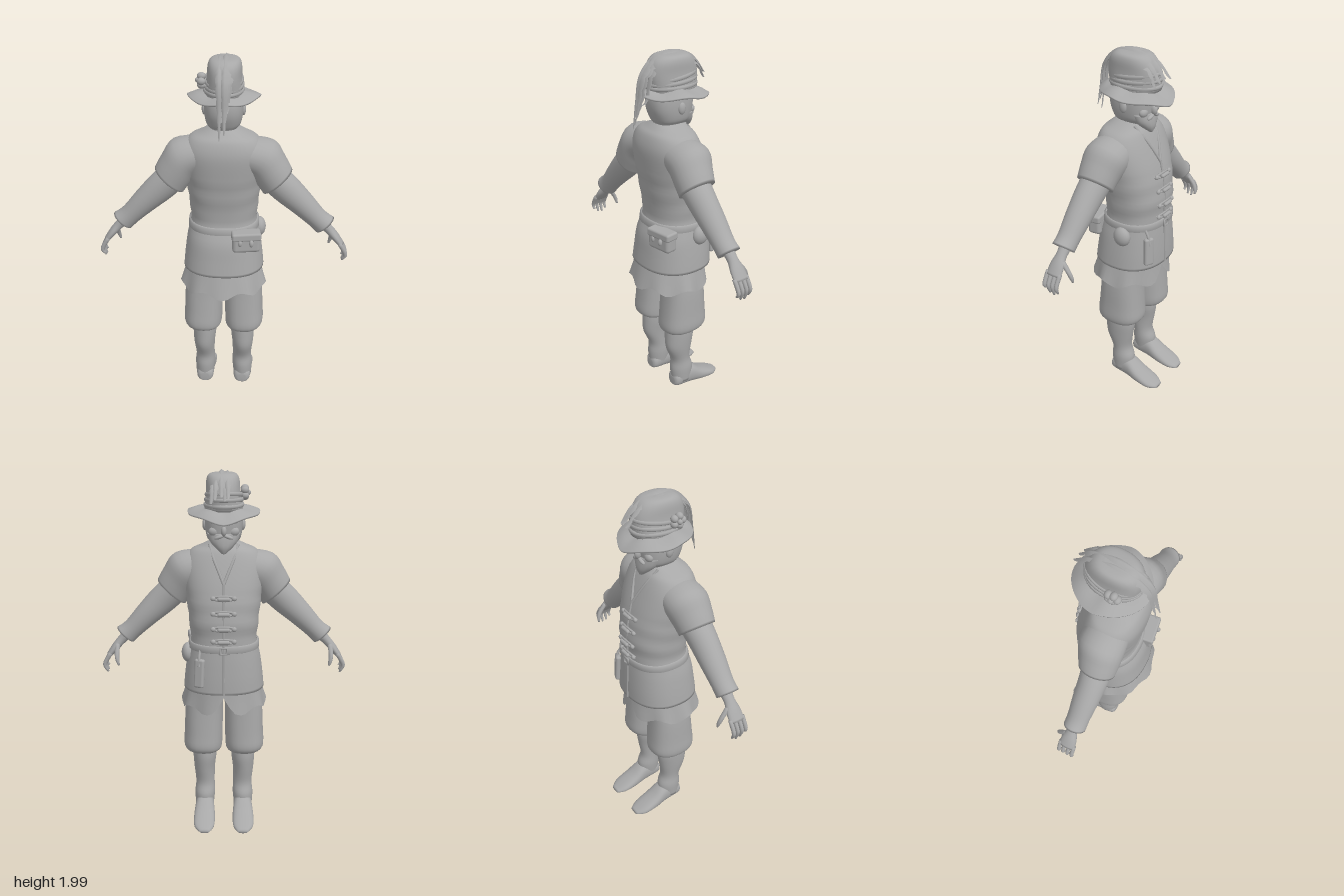
import * as THREE from 'three';
import { RoundedBoxGeometry } from 'three/addons/geometries/RoundedBoxGeometry.js';

const grey = new THREE.MeshStandardMaterial({ color: 0xa8a8a8, side: THREE.DoubleSide });
grey.name = 'plain grey';

const V = (x, y, z) => new THREE.Vector3(x, y, z);

// Catmull-Rom blend of two neighbouring cross-sections
function blend(rows, i, t) {
  const at = k => rows[Math.max(0, Math.min(rows.length - 1, k))];
  const [a, b, c, d] = [at(i - 1), at(i), at(i + 1), at(i + 2)];
  return b.map((_, k) => 0.5 * (2 * b[k] + (c[k] - a[k]) * t +
    (2 * a[k] - 5 * b[k] + 4 * c[k] - d[k]) * t * t + (3 * b[k] - a[k] - 3 * c[k] + d[k]) * t * t * t));
}

// Skin over cross-sections [x, y, z, half width, half depth, tilt in degrees], listed from top to bottom
function loft(rows, { n = 24, steps = 4, e = 2, caps = true, warp = null, side = 1 } = {}) {
  const full = rows.map(r => [r[0] * side, r[1], r[2], r[3], r[4], (r[5] || 0) * side]);
  const rings = [];
  for (let i = 0; i < full.length - 1; i++)
    for (let s = 0; s < steps; s++) rings.push(blend(full, i, s / steps));
  rings.push(full[full.length - 1]);
  const pos = [], idx = [];
  const pow = c => Math.sign(c) * Math.abs(c) ** (2 / e);
  rings.forEach(([x, y, z, ru, rv, deg], i) => {
    const a = deg * Math.PI / 180;
    for (let j = 0; j < n; j++) {
      const th = j / n * Math.PI * 2, u = pow(Math.cos(th)) * ru, v = pow(Math.sin(th)) * rv;
      const p = V(x + u * Math.cos(a), y + u * Math.sin(a), z + v);
      if (warp) warp(p, th, i / (rings.length - 1));
      pos.push(p.x, p.y, p.z);
      if (i < rings.length - 1) {
        const k = (j + 1) % n, A = i * n + j, B = i * n + k;
        idx.push(A, B, A + n, B, B + n, A + n);
      }
    }
  });
  if (caps) for (const [ring, flip] of [[0, true], [rings.length - 1, false]]) {
    const r = rings[ring], c = pos.length / 3;
    const p = V(r[0], r[1], r[2]);
    if (warp) warp(p, 0, ring ? 1 : 0);
    pos.push(p.x, p.y, p.z);
    for (let j = 0; j < n; j++) {
      const A = ring * n + j, B = ring * n + (j + 1) % n;
      idx.push(c, flip ? B : A, flip ? A : B);
    }
  }
  const g = new THREE.BufferGeometry();
  g.setAttribute('position', new THREE.Float32BufferAttribute(pos, 3));
  g.setIndex(idx);
  g.computeVertexNormals();
  return g;
}

// Drooping plume: folded ribbon with a ragged edge along a curve
function plume(points, width, lean) {
  const curve = new THREE.CatmullRomCurve3(points), N = 36, pos = [], idx = [];
  for (let i = 0; i <= N; i++) {
    const t = i / N, p = curve.getPoint(t);
    const w = width * Math.sin(Math.PI * (0.12 + 0.83 * t)) * (i % 3 ? 1 : 0.75);
    const inward = V(0, 1.78, 0.02).sub(p).setX(0).normalize().multiplyScalar(w * 0.9);
    for (const s of [-1, 0, 1])
      pos.push(p.x + s * w + lean * t, p.y + Math.abs(s) * inward.y, p.z + Math.abs(s) * inward.z);
    if (i < N) for (const k of [0, 1]) {
      const a = i * 3 + k;
      idx.push(a, a + 3, a + 1, a + 1, a + 3, a + 4);
    }
  }
  const g = new THREE.BufferGeometry();
  g.setAttribute('position', new THREE.Float32BufferAttribute(pos, 3));
  g.setIndex(idx);
  g.computeVertexNormals();
  return g;
}

export function createModel() {
  const model = new THREE.Group();
  model.name = 'hattedMan';
  const add = (name, geo, x = 0, y = 0, z = 0) => {
    const m = new THREE.Mesh(geo, grey);
    m.name = name;
    m.position.set(x, y, z);
    model.add(m);
    return m;
  };
  const ball = (name, x, y, z, sx, sy, sz) =>
    add(name, new THREE.SphereGeometry(1, 16, 12).scale(sx, sy, sz), x, y, z);
  const cord = (name, pts, r) =>
    add(name, new THREE.TubeGeometry(new THREE.CatmullRomCurve3(pts), 16, r, 6));

  // Jacket body with soft folds round the waist
  add('jacket', loft([
    [0, 1.625, 0.01, 0.07, 0.08], [0, 1.6, 0.02, 0.12, 0.1], [0, 1.57, 0.025, 0.18, 0.125],
    [0, 1.5, 0.02, 0.215, 0.15], [0, 1.4, 0, 0.212, 0.165], [0, 1.3, -0.018, 0.198, 0.17],
    [0, 1.2, -0.03, 0.188, 0.168], [0, 1.1, -0.03, 0.18, 0.16], [0, 1.0, -0.015, 0.2, 0.182],
    [0, 0.9, -0.01, 0.214, 0.192], [0, 0.82, -0.005, 0.222, 0.198]],
  { n: 40, e: 2.3, warp: (p, th) => {
    const k = p.y > 1.08 && p.y < 1.36 ? 1 + 0.012 * Math.sin(p.y * 55 + 2 * Math.sin(th)) : 1;
    p.x *= k; p.z *= k;
  } }));

  // Ragged shirt tail below the jacket, notched at the front opening
  add('shirtTail', loft([[0, 0.85, 0, 0.2, 0.18], [0, 0.78, 0.008, 0.218, 0.192], [0, 0.71, 0.015, 0.236, 0.205]],
    { n: 48, caps: false, warp: (p, th, t) => {
      p.y += t * (0.016 * Math.sin(th * 7) + 0.07 * Math.max(0, 1 - Math.abs(th - Math.PI * 1.5) * 5));
      const k = 1 + t * 0.03 * Math.sin(th * 9);
      p.x *= k; p.z *= k;
    } }));

  for (const side of [1, -1]) {
    const tag = side > 0 ? 'left' : 'right';
    const limb = (name, rows, opt = {}) => add(tag + name, loft(rows, { side, ...opt }));

    // Arms
    limb('ShoulderSleeve', [[0.1, 1.49, 0.03, 0.09, 0.11, 70], [0.2, 1.46, 0.03, 0.112, 0.12, 55],
      [0.25, 1.395, 0.04, 0.106, 0.108, 46], [0.285, 1.338, 0.045, 0.1, 0.098, 41]]);
    limb('Sleeve', [[0.25, 1.37, 0.045, 0.08, 0.085, 42], [0.33, 1.295, 0.05, 0.08, 0.076, 42],
      [0.42, 1.21, 0.05, 0.068, 0.069, 42], [0.5, 1.13, 0.05, 0.057, 0.06, 42], [0.547, 1.09, 0.05, 0.062, 0.06, 42]]);
    limb('Palm', [[0.53, 1.1, 0.045, 0.03, 0.034, 42], [0.57, 1.06, 0.045, 0.025, 0.03, 42],
      [0.605, 1.02, 0.045, 0.022, 0.042, 38], [0.64, 0.975, 0.045, 0.016, 0.045, 30]], { n: 16 });
    [0.084, 0.059, 0.033, 0.008].forEach((z, i) => {
      const tip = [0.9, 0.88, 0.875, 0.89][i];
      limb('Finger', [[0.63, 0.99, z, 0.012, 0.012, 30], [0.66, 0.94, z, 0.012, 0.011, 15],
        [0.664, 0.915, z, 0.01, 0.01, -5], [0.652, tip, z, 0.006, 0.006, -20]], { n: 8, steps: 3 });
    });
    limb('Thumb', [[0.59, 1.045, 0.025, 0.014, 0.016], [0.592, 0.995, -0.015, 0.013, 0.014],
      [0.588, 0.96, -0.03, 0.011, 0.011], [0.582, 0.935, -0.033, 0.006, 0.006]], { n: 8, steps: 3 });

    // Baggy breeches gathered under the knee
    limb('Breeches', [[0.095, 0.86, 0, 0.095, 0.12], [0.11, 0.7, 0, 0.105, 0.12], [0.115, 0.55, 0.003, 0.108, 0.13],
      [0.118, 0.47, 0.005, 0.109, 0.136], [0.115, 0.435, 0.01, 0.1, 0.122], [0.112, 0.418, 0.015, 0.07, 0.09]], { e: 2.4 });

    // Boots
    limb('BootShaft', [[0.11, 0.45, 0.02, 0.066, 0.088], [0.11, 0.38, 0.02, 0.067, 0.09], [0.112, 0.3, 0.024, 0.06, 0.082],
      [0.108, 0.21, 0.012, 0.054, 0.058], [0.11, 0.14, 0.003, 0.058, 0.07], [0.112, 0.06, 0.005, 0.052, 0.06]]);
    add(tag + 'Foot', loft([[0.11, 0.07, -0.06, 0.025, 0.025], [0.11, 0.05, -0.07, 0.048, 0.045],
      [0.11, -0.04, -0.077, 0.053, 0.064], [0.111, -0.12, -0.048, 0.06, 0.042],
      [0.111, -0.2, -0.026, 0.056, 0.024], [0.108, -0.248, -0.016, 0.028, 0.01]], { side, e: 2.3 }).rotateX(Math.PI / 2));

    // Face pairs and collar edges
    ball(tag + 'Ear', side * 0.1, 1.71, 0, 0.014, 0.032, 0.022);
    ball(tag + 'Brow', side * 0.04, 1.735, -0.113, 0.03, 0.008, 0.012);
    ball(tag + 'Cheek', side * 0.05, 1.685, -0.09, 0.03, 0.025, 0.022);
    ball(tag + 'Moustache', side * 0.022, 1.66, -0.115, 0.028, 0.01, 0.013).rotation.z = -side * 0.35;
    cord(tag + 'CollarEdge', [V(side * 0.075, 1.612, -0.05), V(side * 0.055, 1.55, -0.102),
      V(side * 0.025, 1.48, -0.138), V(0, 1.42, -0.162)], 0.008);
  }

  // Head, nose and beard
  add('head', loft([[0, 1.82, 0, 0.09, 0.11], [0, 1.76, 0.005, 0.1, 0.122], [0, 1.7, 0.005, 0.1, 0.12],
    [0, 1.645, 0, 0.09, 0.105], [0, 1.615, 0.005, 0.07, 0.085], [0, 1.56, 0.015, 0.07, 0.08]], { e: 2.5 }));
  ball('nose', 0, 1.69, -0.12, 0.015, 0.026, 0.02);
  add('beard', loft([[0, 1.675, -0.06, 0.088, 0.055], [0, 1.635, -0.07, 0.075, 0.052],
    [0, 1.6, -0.085, 0.045, 0.038], [0, 1.57, -0.1, 0.01, 0.012]], { n: 16 }));

  // Hat: drooping pointed brim, tall crown, wrapped bands and rosette
  add('hatBrim', loft([[0, 1.81, -0.01, 0.095, 0.125], [0, 1.8, -0.013, 0.145, 0.165], [0, 1.785, -0.018, 0.19, 0.2],
    [0, 1.776, -0.018, 0.188, 0.198], [0, 1.79, -0.013, 0.14, 0.16], [0, 1.8, -0.01, 0.09, 0.12]],
  { n: 48, steps: 1, e: 1.75, caps: false, warp: (p, th) => {
    p.y += (p.z < 0 ? -0.85 : -0.1) * p.z * p.z + 0.006 * Math.sin(th * 5);
  } }));
  add('hatCrown', loft([[0, 1.978, 0, 0.03, 0.05], [0.005, 1.97, 0, 0.07, 0.09], [0.005, 1.94, 0, 0.086, 0.125],
    [0.003, 1.88, -0.005, 0.09, 0.145], [0, 1.79, -0.01, 0.104, 0.135]], { e: 2.3 }));
  for (let i = 0; i < 3; i++) {
    const band = add('hatBand', new THREE.TorusGeometry(1, 0.07, 8, 40).rotateX(Math.PI / 2)
      .scale(0.1 - i * 0.003, 0.16, 0.14 - i * 0.001), 0, 1.815 + i * 0.025, -0.008);
    band.rotation.x = 0.06 * i;
  }
  for (let i = 0; i < 5; i++) {
    const a = i / 5 * Math.PI * 2;
    ball('rosettePetal', -0.11, 1.87 + 0.024 * Math.sin(a), 0.04 + 0.026 * Math.cos(a), 0.022, 0.019, 0.019);
  }
  ball('rosetteCentre', -0.128, 1.87, 0.04, 0.014, 0.014, 0.014);

  // Plumes sweeping from the front over the crown and down the back
  [[-0.022, 0, 0.01, 0.022], [0.012, 0.006, 0, 0.024], [0.045, -0.008, -0.035, 0.022],
    [-0.005, -0.015, 0.005, 0.018], [0.065, -0.03, -0.05, 0.02]].forEach(([x, lift, lean, w], i) => {
    const end = 1.615 + i * 0.03;
    add('plume', plume([V(x, 1.865 + lift, -0.205 + i * 0.008), V(x, 1.945 + lift, -0.13), V(x, 1.986 + lift, -0.01),
      V(x, 1.965 + lift, 0.1), V(x, 1.885, 0.18 + lift), V(x, 1.75, 0.208 + lift), V(x, end, 0.225 + lift)], w, lean));
  });

  // Front closing with toggles
  cord('frontSeam', [V(0, 1.42, -0.165), V(0, 1.3, -0.189), V(0, 1.15, -0.196), V(0, 1, -0.198), V(0, 0.82, -0.204)], 0.006);
  [[1.35, -0.182], [1.27, -0.194], [1.19, -0.203], [1.12, -0.198]].forEach(([y, z]) => {
    for (const dy of [-0.01, 0.01])
      cord('toggleLoop', [V(-0.065, y, z + 0.012), V(-0.03, y + dy, z), V(0.03, y + dy, z), V(0.065, y, z + 0.012)], 0.006);
    const toggle = add('toggle', new THREE.CapsuleGeometry(0.011, 0.045, 4, 10), 0, y, z - 0.012);
    toggle.rotation.z = Math.PI / 2;
    for (const s of [1, -1]) ball('toggleKnot', s * 0.055, y, z + 0.002, 0.014, 0.013, 0.011);
  });

  // Belt, buckle and pouches
  add('belt', loft([[0, 1.092, -0.028, 0.182, 0.164], [0, 1.088, -0.028, 0.192, 0.173],
    [0, 1.055, -0.025, 0.194, 0.176], [0, 1.05, -0.025, 0.184, 0.166]], { n: 40, steps: 1, e: 2.3, caps: false }));
  add('buckle', new THREE.TorusGeometry(0.024, 0.006, 6, 4, Math.PI * 2).rotateZ(Math.PI / 4), 0, 1.07, -0.205);
  add('backPouch', new RoundedBoxGeometry(0.15, 0.11, 0.075, 3, 0.02), 0.125, 1.025, 0.145).rotation.y = 0.15;
  add('backPouchFlap', new RoundedBoxGeometry(0.158, 0.045, 0.08, 2, 0.012), 0.125, 1.062, 0.147).rotation.y = 0.15;
  for (const x of [0.095, 0.155]) ball('pouchButton', x, 1.03, 0.184, 0.012, 0.02, 0.012);
  ball('roundPouch', 0.195, 1.02, -0.055, 0.036, 0.055, 0.05);
  const sheath = add('frontSheath', new RoundedBoxGeometry(0.055, 0.16, 0.03, 2, 0.012), 0.13, 0.94, -0.183);
  sheath.rotation.set(0.05, -0.4, 0.05);
  cord('sheathStrap', [V(0.125, 1.07, -0.155), V(0.13, 1.03, -0.18), V(0.13, 0.98, -0.195)], 0.008);
  return model;
}
